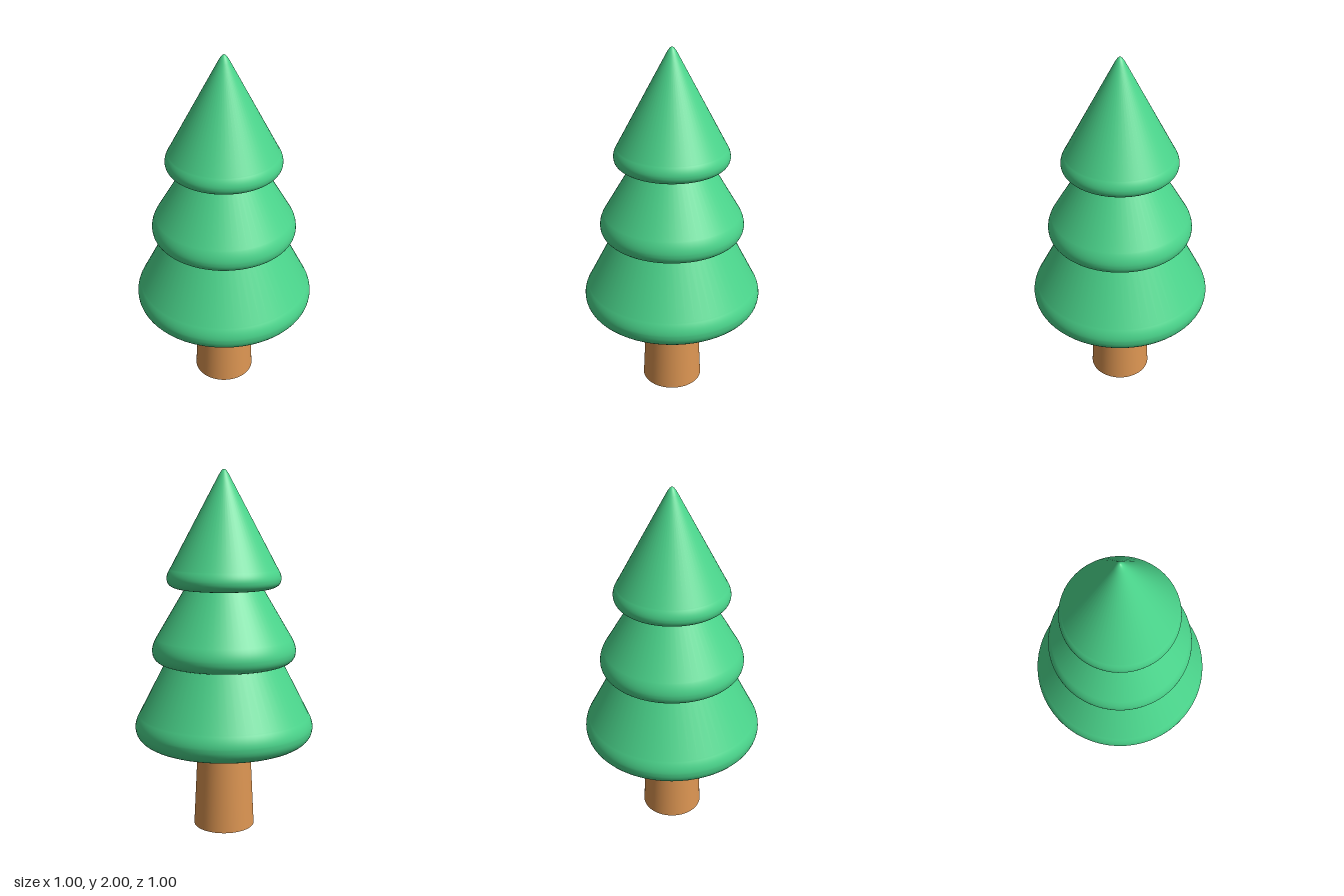
import * as THREE from 'three';

const SEGMENTS = 64;
const foliageMaterial = new THREE.MeshStandardMaterial({ color: 0x4ad48b });
const barkMaterial = new THREE.MeshStandardMaterial({ color: 0xdc9552, side: THREE.DoubleSide });

// One cone of foliage: flat underside, softly rolled rim, straight slope up to the top radius.
function createTier(name, { base, radius, rimY, flatRadius, slopeRadius, slopeY, topRadius, topY, tip }) {
  const path = new THREE.Path();
  path.moveTo(0, base);
  path.lineTo(flatRadius, base);
  path.bezierCurveTo(flatRadius + (radius - flatRadius) * 0.65, base + 0.002, radius, base + (rimY - base) * 0.4, radius, rimY);
  path.quadraticCurveTo(radius, rimY + (slopeY - rimY) * 0.45, slopeRadius, slopeY);
  path.lineTo(topRadius, topY);
  if (tip) path.quadraticCurveTo(0.012, tip, 0, tip);
  const mesh = new THREE.Mesh(new THREE.LatheGeometry(path.getPoints(10), SEGMENTS), foliageMaterial);
  mesh.name = name;
  return mesh;
}

export function createModel() {
  const tree = new THREE.Group();
  tree.name = 'pineTree';

  // Tapered trunk, open at both ends
  const trunk = new THREE.Mesh(new THREE.CylinderGeometry(0.148, 0.172, 0.49, SEGMENTS, 1, true), barkMaterial);
  trunk.name = 'trunk';
  trunk.position.y = 0.245;
  tree.add(trunk);

  // Three stacked tiers of foliage
  tree.add(
    createTier('lowerFoliage', {
      base: 0.485, radius: 0.5, rimY: 0.585, flatRadius: 0.36,
      slopeRadius: 0.475, slopeY: 0.66, topRadius: 0.3, topY: 1.0,
    }),
    createTier('middleFoliage', {
      base: 0.945, radius: 0.4, rimY: 1.015, flatRadius: 0.32,
      slopeRadius: 0.378, slopeY: 1.085, topRadius: 0.18, topY: 1.42,
    }),
    createTier('upperFoliage', {
      base: 1.362, radius: 0.315, rimY: 1.415, flatRadius: 0.25,
      slopeRadius: 0.295, slopeY: 1.47, topRadius: 0.032, topY: 1.962, tip: 2,
    }),
  );

  return tree;
}
